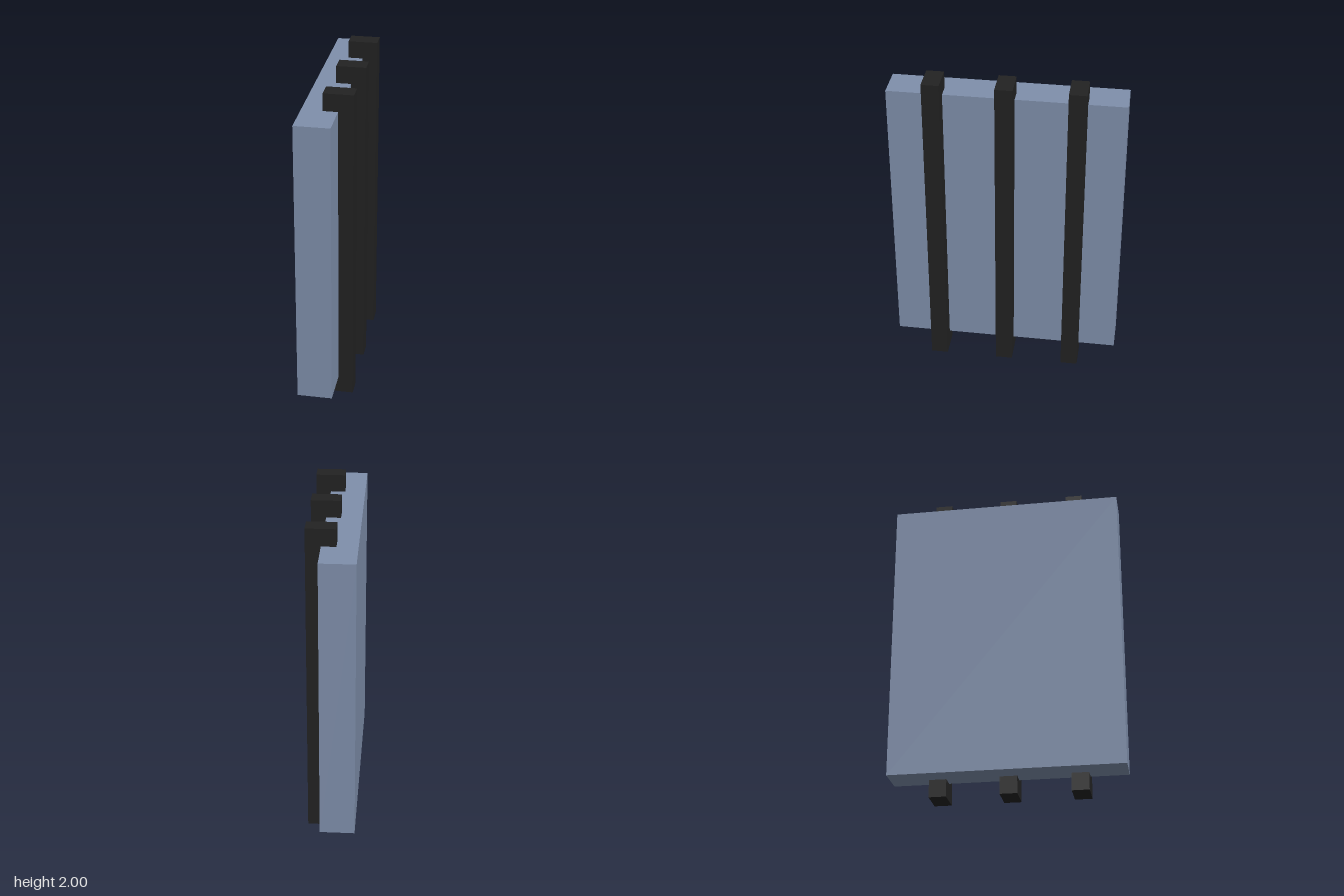
import * as THREE from 'three';

const panelMaterial = new THREE.MeshStandardMaterial({ color: 0x7f8fab });
const barMaterial = new THREE.MeshStandardMaterial({ color: 0x222222 });

// Box given by its lower and upper corners
function block(name, material, [x0, y0, z0], [x1, y1, z1]) {
  const mesh = new THREE.Mesh(new THREE.BoxGeometry(x1 - x0, y1 - y0, z1 - z0), material);
  mesh.position.set((x0 + x1) / 2, (y0 + y1) / 2, (z0 + z1) / 2);
  mesh.name = name;
  return mesh;
}

export function createModel() {
  const model = new THREE.Group();
  model.name = 'barredPanel';

  // Thick upright slab
  model.add(block('panel', panelMaterial, [-0.152, 0.108, -0.713], [0.06, 1.894, 0.713]));

  // Three upright bars set into one face, overhanging top and bottom
  const names = ['backBar', 'middleBar', 'frontBar'];
  const halfWidth = 0.053;
  names.forEach((name, i) => {
    const z = (i - 1) * 0.428;
    model.add(block(name, barMaterial, [-0.028, 0, z - halfWidth], [0.15, 2, z + halfWidth]));
  });

  return model;
}
